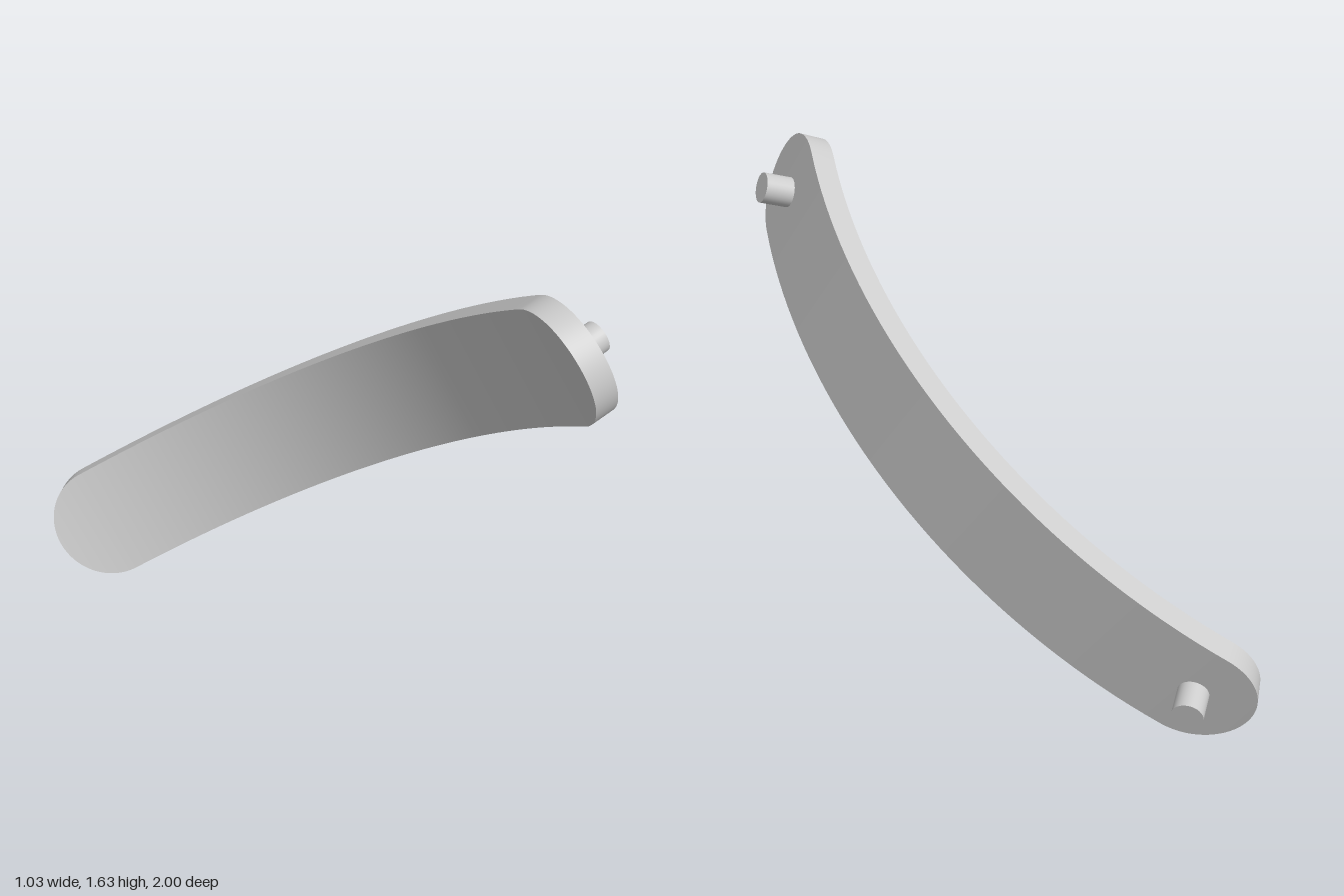
import * as THREE from 'three';
import { toCreasedNormals } from 'three/addons/utils/BufferGeometryUtils.js';

const RADIUS = 0.205; // half width and end rounding
const THICK = 0.082;
const HALF_ANGLE = Math.PI / 6;

export function createModel() {
  const group = new THREE.Group();
  const material = new THREE.MeshStandardMaterial({ color: 0xcccccc });

  // Tilted arc: outer-face centres of the two rounded ends, and its frame
  const front = new THREE.Vector3(0.4, 1.443, 0.795);
  const back = new THREE.Vector3(-0.305, 0.2, -0.86);
  const along = front.clone().sub(back);
  const R = along.length() / (2 * Math.sin(HALF_ANGLE));
  along.normalize();
  const outward = new THREE.Vector3(0.949, 0.313, 0.03);
  outward.addScaledVector(along, -outward.dot(along)).normalize();
  const across = along.clone().cross(outward);
  const centre = front.clone().add(back).multiplyScalar(0.5)
    .addScaledVector(outward, -R * Math.cos(HALF_ANGLE));

  const normalAt = (a) => outward.clone().multiplyScalar(Math.cos(a)).addScaledVector(along, Math.sin(a));
  const pointAt = (a, height, side) => centre.clone()
    .addScaledVector(normalAt(a), R + height).addScaledVector(across, side);

  // Stations along the strap: [arc length, half width]
  const stations = [];
  const half = R * HALF_ANGLE;
  const CAP = 20, MID = 40;
  for (let i = 0; i < CAP; i++) {
    const a = (i / CAP) * Math.PI / 2;
    stations.push([-half - RADIUS * Math.cos(a), RADIUS * Math.sin(a)]);
  }
  for (let i = 0; i <= MID; i++) stations.push([-half + (2 * half * i) / MID, RADIUS]);
  for (let i = CAP - 1; i >= 0; i--) stations.push([-stations[i][0], stations[i][1]]);

  // Strap: a box whose slices follow the stations, bent round the arc
  const n = stations.length - 1;
  const box = new THREE.BoxGeometry(1, 1, 1, n, 1, 1);
  const pos = box.attributes.position;
  for (let i = 0; i < pos.count; i++) {
    const [s, w] = stations[Math.round((pos.getX(i) + 0.5) * n)];
    const p = pointAt(s / R, (pos.getY(i) - 0.5) * THICK, pos.getZ(i) * 2 * w);
    pos.setXYZ(i, p.x, p.y, p.z);
  }
  const strap = new THREE.Mesh(toCreasedNormals(box, 0.6), material);
  strap.name = 'curvedStrap';
  group.add(strap);

  // Pegs on the outer face, centred on the rounded ends
  for (const [name, a] of [['frontPeg', HALF_ANGLE], ['backPeg', -HALF_ANGLE]]) {
    const peg = new THREE.Mesh(new THREE.CylinderGeometry(0.052, 0.052, 0.14, 32), material);
    peg.name = name;
    peg.position.copy(pointAt(a, 0.03, 0));
    peg.quaternion.setFromUnitVectors(new THREE.Vector3(0, 1, 0), normalAt(a));
    group.add(peg);
  }
  return group;
}
